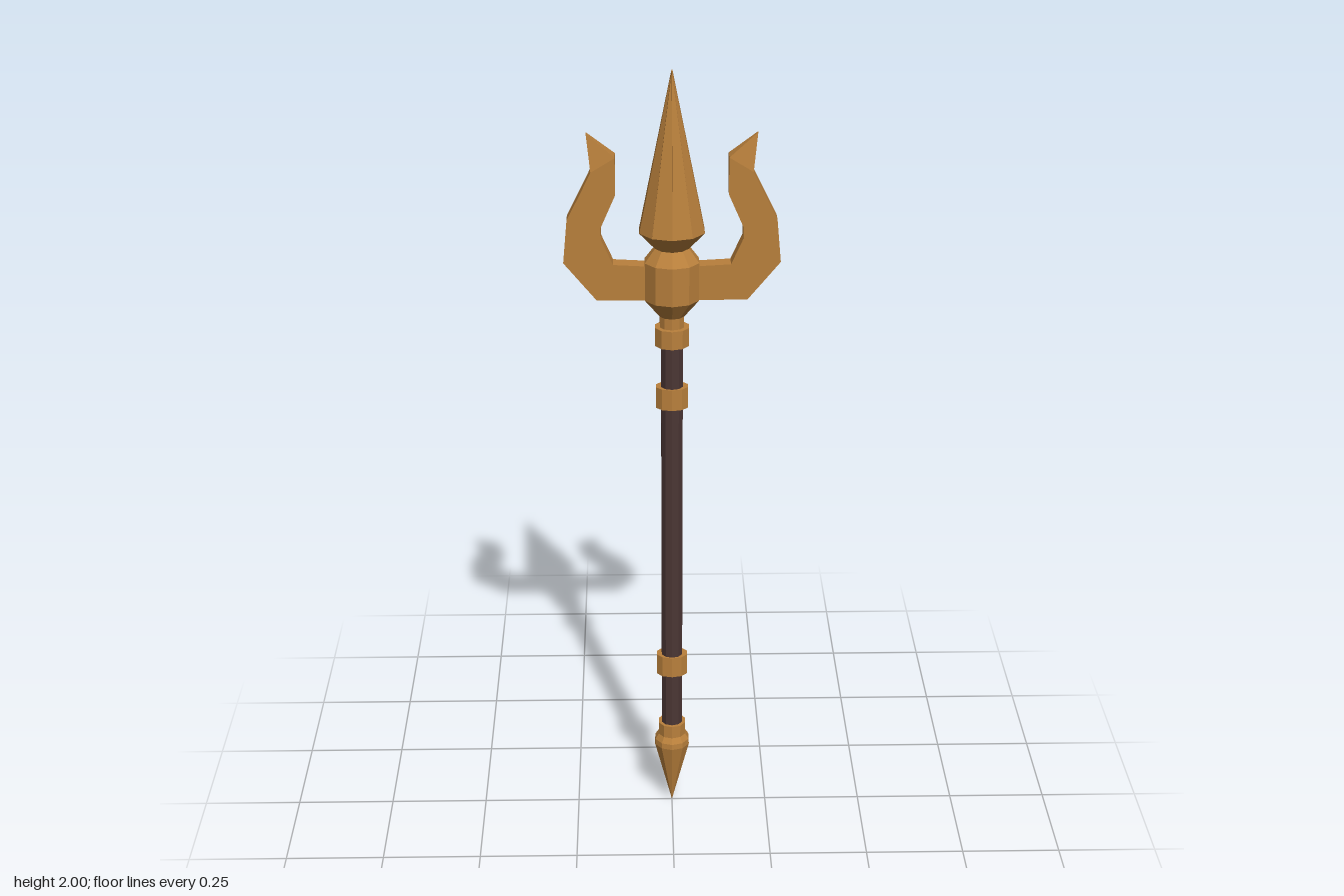
import * as THREE from 'three';

const bronze = new THREE.MeshStandardMaterial({ color: 0xb9803c, flatShading: true });
bronze.name = 'bronze';
const darkWood = new THREE.MeshStandardMaterial({ color: 0x4b3634, flatShading: true });
darkWood.name = 'dark wood';

const SIDES = 10;

// Faceted turned part: profile of [radius, y] from bottom to top, with separate x and z scale
function turned(name, profile, material, sx = 1.07, sz = 1) {
  const points = profile.map(([r, y]) => new THREE.Vector2(r, y));
  const geometry = new THREE.LatheGeometry(points, SIDES).scale(sx, 1, sz).toNonIndexed();
  geometry.computeVertexNormals();
  const mesh = new THREE.Mesh(geometry, material);
  mesh.name = name;
  return mesh;
}

// Closed ring around the shaft
function band(name, y0, y1, r, sx, sz) {
  return turned(name, [[0, y0], [r, y0], [r, y1], [0, y1]], bronze, sx, sz);
}

// Curved side prong, swept through four-cornered sections
function prongGeometry() {
  // outer x, outer y, inner x, inner y, half thickness
  const sections = [
    [0.05, 1.447, 0.05, 1.532, 0.02],
    [0.18, 1.447, 0.14, 1.537, 0.02],
    [0.258, 1.542, 0.168, 1.6, 0.02],
    [0.248, 1.648, 0.168, 1.63, 0.02],
    [0.212, 1.72, 0.133, 1.71, 0.02],
    [0.19, 1.765, 0.133, 1.8, 0.02],
    [0.2, 1.855, 0.199, 1.855, 0.004],
  ];
  const positions = [];
  const index = [];
  sections.forEach(([ox, oy, ix, iy, d], i) => {
    positions.push(ox, oy, d, ix, iy, d, ix, iy, -d, ox, oy, -d);
    if (i === sections.length - 1) return;
    for (let k = 0; k < 4; k++) {
      const a = i * 4 + k;
      const b = i * 4 + (k + 1) % 4;
      index.push(a, a + 4, b + 4, a, b + 4, b);
    }
  });
  // end caps
  const n = (sections.length - 1) * 4;
  index.push(0, 1, 2, 0, 2, 3, n, n + 2, n + 1, n, n + 3, n + 2);
  const geometry = new THREE.BufferGeometry();
  geometry.setAttribute('position', new THREE.Float32BufferAttribute(positions, 3));
  geometry.setIndex(index);
  const flat = geometry.toNonIndexed();
  flat.computeVertexNormals();
  return flat;
}

export function createModel() {
  const model = new THREE.Group();
  model.name = 'trident';

  // Shaft
  model.add(turned('shaft', [[0, 0.2], [0.026, 0.2], [0.026, 1.36], [0, 1.36]], darkWood));

  // Pointed foot
  model.add(turned('foot', [
    [0, 0], [0.045, 0.185], [0.044, 0.2], [0.035, 0.215], [0.035, 0.25], [0, 0.25],
  ], bronze, 1.04));

  // Shaft bands
  model.add(band('lowerBand', 0.4, 0.457, 0.03, 1.38, 1));
  model.add(band('upperBand', 1.16, 1.215, 0.03, 1.38, 1));
  model.add(band('topBand', 1.325, 1.372, 0.04, 1.08, 1));

  // Neck and hub
  model.add(turned('hub', [
    [0, 1.36], [0.028, 1.36], [0.028, 1.4], [0.062, 1.445],
    [0.062, 1.54], [0.036, 1.578], [0, 1.578],
  ], bronze, 1.1));

  // Central spearhead, narrowed to a thin ridge at the tip
  const head = turned('spearhead', [
    [0, 1.57], [0.036, 1.57], [0.076, 1.616], [0.013, 2], [0, 2],
  ], bronze, 1.07);
  const p = head.geometry.attributes.position;
  for (let i = 0; i < p.count; i++) {
    if (p.getY(i) > 1.99) p.setX(i, p.getX(i) * 0.12);
  }
  head.geometry.computeVertexNormals();
  model.add(head);

  // Side prongs
  const geometry = prongGeometry();
  ['leftProng', 'rightProng'].forEach((name, i) => {
    const prong = new THREE.Mesh(geometry, bronze);
    prong.name = name;
    prong.rotation.y = i * Math.PI;
    model.add(prong);
  });

  return model;
}
